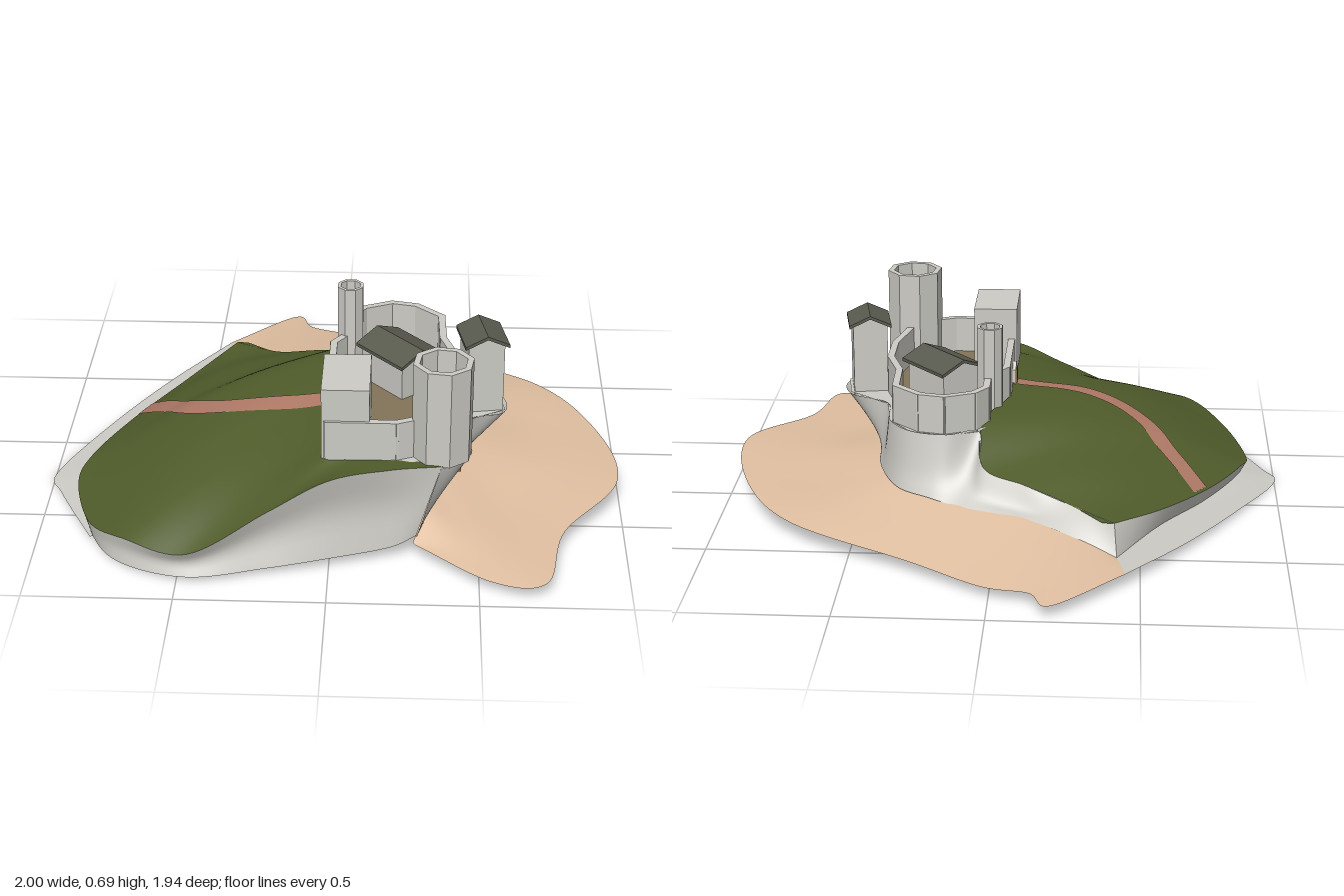
import * as THREE from 'three';

const mat = (name, color) => new THREE.MeshStandardMaterial({ name, color, side: THREE.DoubleSide });
const stone = mat('stone', 0xcccbc5);
const grass = mat('grass', 0x505c2b);
const sand = mat('sand', 0xe0bfa1);
const clay = mat('clay path', 0xb07a67);
const slate = mat('slate roof', 0x5a5b4f);
const earth = mat('courtyard earth', 0x837459);
const wood = mat('wood', 0x7d6a48);

const V = (p) => new THREE.Vector3(...p);

// Smooth skin through a row of cross-section curves
function skin(name, rows, material, nu = 80, nv = 12) {
  const curves = rows.map((r) => new THREE.CatmullRomCurve3(r.map(V), false, 'catmullrom', 0.5));
  const pos = [], index = [];
  for (let i = 0; i <= nu; i++) {
    const pts = curves.map((c) => c.getPoint(i / nu));
    const across = pts.length > 2 ? new THREE.CatmullRomCurve3(pts, false, 'catmullrom', 0.5) : new THREE.LineCurve3(...pts);
    for (let j = 0; j <= nv; j++) {
      const p = across.getPoint(j / nv);
      pos.push(p.x, Math.max(0, p.y), p.z);
      if (i < nu && j < nv) {
        const a = i * (nv + 1) + j, b = a + nv + 1;
        index.push(a, a + 1, b, a + 1, b + 1, b);
      }
    }
  }
  return indexed(name, pos, index, material);
}

function indexed(name, pos, index, material) {
  const g = new THREE.BufferGeometry();
  g.setAttribute('position', new THREE.Float32BufferAttribute(pos, 3));
  g.setIndex(index);
  g.computeVertexNormals();
  return named(name, g, material);
}

function named(name, g, material) {
  const m = new THREE.Mesh(g, material);
  m.name = name;
  return m;
}

// Row between two rows, shifted along one axis by an amount per column
const between = (a, b, t, shift, axis = 1) => a.map((p, i) =>
  [0, 1, 2].map((k) => p[k] + (b[i][k] - p[k]) * t + (k === axis ? shift[i] : 0)));

function box(name, size, at, material, turn = 0) {
  const m = named(name, new THREE.BoxGeometry(...size), material);
  m.position.set(...at);
  m.rotation.y = turn;
  return m;
}

// Prism with its outline in x, y and its length centred on z
function prism(name, outline, depth, material) {
  const shape = new THREE.Shape(outline.map((p) => new THREE.Vector2(...p)));
  const g = new THREE.ExtrudeGeometry(shape, { depth, bevelEnabled: false });
  return named(name, g.translate(0, 0, -depth / 2), material);
}

// Horizontal plate from [x, z] points, with an optional hole
function plate(name, pts, y, material, hole) {
  const to2 = (p) => new THREE.Vector2(p[0], -p[1]);
  const shape = new THREE.Shape(pts.map(to2));
  if (hole) shape.holes.push(new THREE.Path(hole.map(to2)));
  return named(name, new THREE.ShapeGeometry(shape).rotateX(-Math.PI / 2).translate(0, y, 0), material);
}

// Open-topped eight-sided tower
function tower(name, x, z, r, wall, y0, y1, turn) {
  const profile = [[r, y0], [r, y1], [r - wall, y1], [r - wall, y0 + 0.03], [0, y0 + 0.03]];
  const g = new THREE.LatheGeometry(profile.map((p) => new THREE.Vector2(...p)), 8).toNonIndexed();
  g.computeVertexNormals();
  const m = named(name, g, stone);
  m.position.set(x, 0, z);
  m.rotation.y = turn;
  return m;
}

// House with walls, gables and an overhanging pitched roof
function house(name, w, d, y0, eave, ridge, over, x, z, turn) {
  const h = new THREE.Group(), e = w / 2 + over, t = 0.012;
  h.name = name;
  h.add(prism(name + 'Walls', [[-w / 2, y0], [w / 2, y0], [w / 2, eave], [0, ridge - t], [-w / 2, eave]], d, stone));
  h.add(prism(name + 'Roof', [[-e, eave - t], [0, ridge - t], [e, eave - t], [e, eave], [0, ridge], [-e, eave]], d + 2 * over, slate));
  h.position.set(x, 0, z);
  h.rotation.y = turn;
  return h;
}

export function createModel() {
  const root = new THREE.Group();
  root.name = 'cliffCastle';

  // Grass slope, from its outer rim to the castle walls
  const rim = [[-.41, .15, -.54], [-.58, .11, -.31], [-.75, .085, -.05], [-.87, .07, .2], [-.9, .05, .36], [-.82, .07, .65],
    [-.68, .115, .82], [-.46, .11, .9], [-.2, .24, .84], [0, .34, .8], [.2, .35, .74], [.37, .35, .71]];
  const inner = [[-.37, .15, -.54], [-.25, .17, -.43], [-.1, .21, -.37], [.05, .25, -.31], [.06, .36, -.15], [-.02, .37, .09],
    [-.02, .36, .28], [-.02, .35, .5], [-.02, .345, .66], [.1, .345, .66], [.25, .345, .65], [.37, .35, .71]];
  const swell = [0, .02, .05, .07, .07, .06, .03, .02, 0, 0, 0, 0];
  const slope = skin('grassSlope', [rim, between(rim, inner, .35, swell), between(rim, inner, .65, swell), inner], grass, 110, 20);
  root.add(slope);

  // Clay path draped on both faces of the slope and trimmed at its rim
  const line = new THREE.CatmullRomCurve3([[-.02, 0, .28], [-.16, 0, .285], [-.3, 0, .275], [-.42, 0, .235],
    [-.52, 0, .16], [-.6, 0, .05], [-.74, 0, -.13]].map(V));
  const ray = new THREE.Raycaster(), down = new THREE.Vector3(0, -1, 0);
  for (const lift of [.004, -.004]) {
    const pos = [], index = [], onSlope = [], n = 120, k = 8;
    for (let i = 0; i <= n; i++) {
      const p = line.getPointAt(i / n), t = line.getTangentAt(i / n);
      for (let j = 0; j <= k; j++) {
        const s = (j / k - .5) * .08, x = p.x - t.z * s, z = p.z + t.x * s;
        ray.set(new THREE.Vector3(x, 2, z), down);
        const hit = ray.intersectObject(slope)[0];
        onSlope.push(!!hit);
        pos.push(x, hit ? hit.point.y + lift : .1, z);
      }
    }
    for (let i = 0; i < n; i++) for (let j = 0; j < k; j++) {
      const a = i * (k + 1) + j, b = a + k + 1;
      for (const tri of [[a, b, a + 1], [a + 1, b, b + 1]]) if (tri.every((v) => onSlope[v])) index.push(...tri);
    }
    root.add(indexed(lift > 0 ? 'path' : 'pathUnderside', pos, index, clay));
  }

  // Cliff below the grass rim, with a flat rock apron on the far side
  const foot = [[-.42, .05, -.6], [-.565, .04, -.3], [-.73, .03, -.04], [-.85, .025, .2], [-.88, .015, .36], [-.81, .01, .645],
    [-.69, .01, .81], [-.46, .02, .9], [-.2, .03, .85], [0, .04, .8], [.2, .05, .74], [.29, .08, .71]];
  const scoop = [0, 0, 0, 0, 0, 0, -.01, -.02, -.03, -.03, -.02, 0];
  root.add(skin('frontCliff', [rim, between(rim, foot, .5, scoop, 2), foot], stone, 110, 8));
  root.add(skin('rockApron', [foot.slice(0, 6), [[-.45, .05, -.73], [-.66, .035, -.43], [-.85, .02, -.1],
    [-1, 0, .22], [-.96, 0, .36], [-.82, .01, .65]]], stone, 60, 4));

  // Cliff under the castle and along the back
  const top = [[.37, .35, .71], [.47, .35, .62], [.44, .35, .48], [.47, .35, .38], [.59, .34, .31], [.57, .34, .17], [.42, .35, .05],
    [.395, .35, -.12], [.31, .35, -.23], [.18, .35, -.26], [.07, .345, -.21], [.05, .25, -.31], [-.1, .21, -.37],
    [-.25, .17, -.43], [-.41, .15, -.54]];
  const base = [[.29, .07, .71], [.33, .12, .6], [.33, .13, .48], [.36, .13, .38], [.42, .14, .3], [.44, .145, .17], [.45, .15, .03],
    [.42, .15, -.12], [.35, .145, -.26], [.24, .14, -.33], [.15, .13, -.37], [.06, .13, -.41], [-.1, .12, -.45],
    [-.25, .1, -.53], [-.42, .05, -.6]];
  const hollow = base.map((p, i) => (i > 5 && i < 13 ? -.025 : 0));
  root.add(skin('castleCliff', [top, between(top, base, .5, hollow), base], stone, 120, 10));

  // Beach, running in a little under the cliff
  const shoreIn = [[.28, .06, .72], [.32, .12, .6], [.33, .135, .45], [.37, .15, .3], [.37, .16, .1], [.35, .16, -.08],
    [.28, .155, -.21], [.08, .14, -.36], [-.1, .125, -.43], [-.2, .11, -.48], [-.3, .09, -.54], [-.42, .05, -.6]];
  const shoreOut = [[.29, .055, .73], [.54, .045, .925], [.72, .055, .94], [.79, .07, .65], [.99, .09, .34], [.93, .08, -.06],
    [.72, .07, -.41], [.28, .05, -.67], [.03, .04, -.83], [-.135, .045, -.885], [-.21, .045, -.975], [-.45, .05, -.73]];
  const dip = [0, -.015, -.02, -.03, -.03, -.025, -.01, 0, 0, 0, 0, 0];
  root.add(skin('beach', [shoreIn, between(shoreIn, shoreOut, .5, dip), shoreOut], sand, 120, 12));

  // Courtyard floor and the rock ledge around it
  const yard = [[-.01, .655], [-.01, .09], [.05, 0], [.05, -.13], [.09, -.19], [.19, -.235], [.28, -.215], [.37, -.13],
    [.375, .04], [.42, .18], [.42, .34], [.38, .52], [.3, .62], [.22, .655]];
  root.add(plate('courtyardFloor', yard, .352, earth));
  const ledge = [...top.slice(0, 10).map((p) => [p[0], p[2]]), [.07, -.215], [.03, -.13], [.03, 0], [-.02, .08], [-.02, .66], [.24, .67]];
  root.add(plate('rockLedge', ledge, .347, stone, yard));

  // Curtain wall, one straight length per side of the courtyard
  const walls = new THREE.Group();
  walls.name = 'curtainWall';
  yard.forEach((a, i) => {
    const b = yard[(i + 1) % yard.length], dx = b[0] - a[0], dz = b[1] - a[1];
    walls.add(box('wallLength', [Math.hypot(dx, dz) + .014, .155, .025],
      [(a[0] + b[0]) / 2, .4075, (a[1] + b[1]) / 2], stone, -Math.atan2(dz, dx)));
  });
  root.add(walls);

  // Keep and towers
  root.add(box('keep', [.16, .27, .255], [.05, .465, .53], stone));
  root.add(tower('greatTower', .37, .61, .103, .022, .345, .69, .25));
  root.add(tower('turret', .045, 0, .048, .012, .33, .665, .39));

  // Tower house over the cliff and the hall in the courtyard
  root.add(house('towerHouse', .125, .145, .33, .605, .64, .014, .507, .25, .18));
  root.add(house('hall', .16, .215, .35, .487, .525, .016, .222, .127, .72));

  // Gate on the slope side
  const gate = prism('gateArch', [[-.03, .35], [.03, .35], [.03, .415], [0, .44], [-.03, .415]], .02, stone);
  gate.position.set(-.025, 0, .28);
  gate.rotation.y = Math.PI / 2;
  root.add(gate, box('gateDoor', [.006, .06, .036], [-.036, .385, .28], wood));

  // Sea door in the cliff and its mooring block
  const door = prism('seaDoor', [[-.05, .2], [.05, .2], [.05, .25], [.03, .285], [0, .305], [-.03, .285], [-.05, .25]], .09, wood);
  door.position.set(.395, 0, .435);
  door.rotation.y = Math.PI / 2;
  root.add(door, box('mooringBlock', [.06, .05, .05], [.38, .145, .365], stone, .3));

  return root;
}
